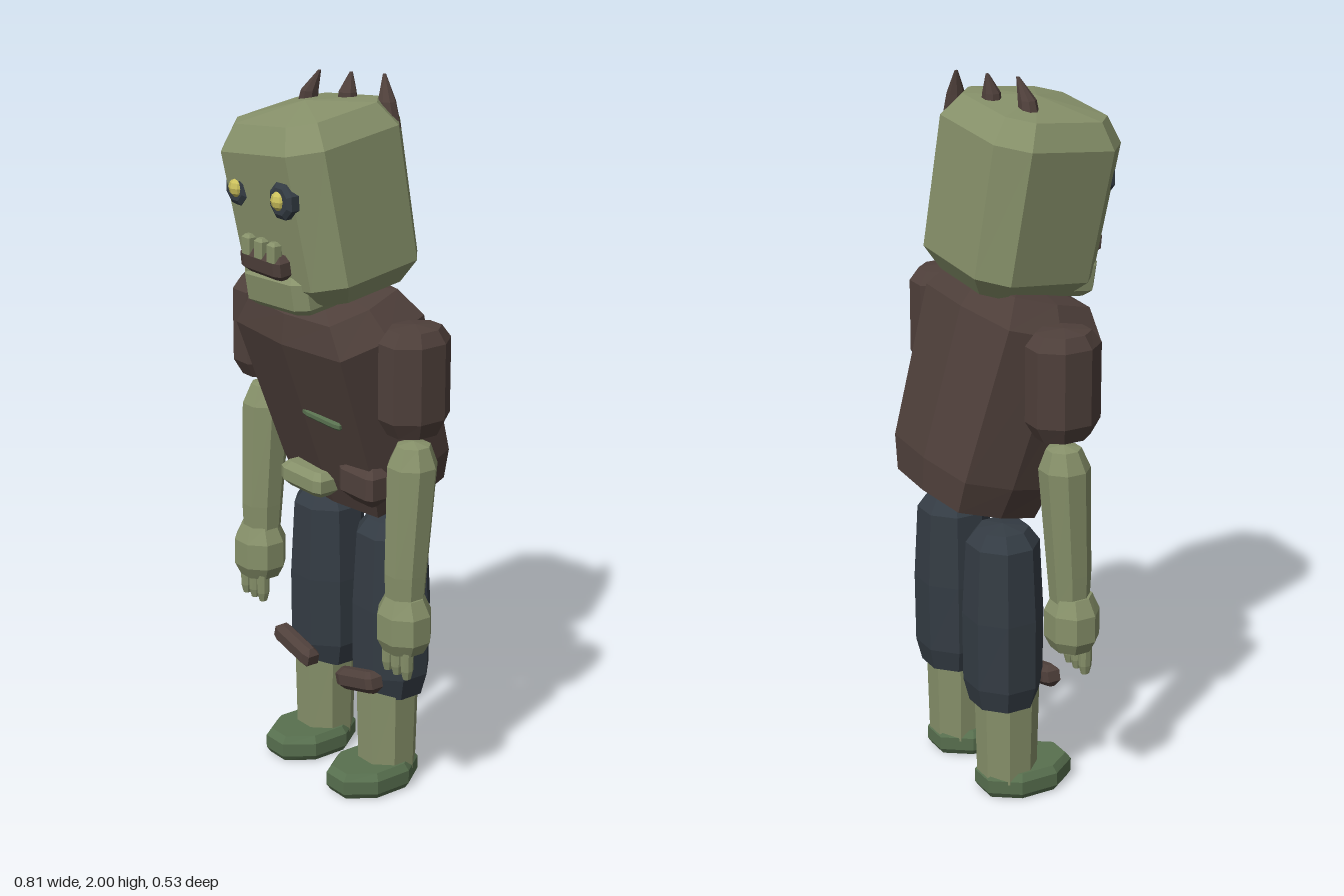
import * as THREE from 'three';

const mat = (name, color) => {
  const m = new THREE.MeshStandardMaterial({ color });
  m.name = name;
  return m;
};

// Faceted eight-sided loft. Rings: [y, halfWidth, halfDepth, centreX, centreZ].
// power < 1 squares the section; turned = corners on the axes; dome lifts the caps.
function loft(rings, { power = 1, turned = false, dome = 0 } = {}) {
  const n = 8, start = turned ? 0 : Math.PI / 8;
  const bend = (v) => (Math.abs(v) < 1e-6 ? 0 : Math.sign(v) * Math.abs(v) ** power);
  const norm = bend(Math.cos(start));
  const loops = rings.map(([y, rx, rz, cx = 0, cz = 0]) =>
    Array.from({ length: n }, (_, i) => {
      const a = start + (i / n) * Math.PI * 2;
      return [cx + (rx * bend(Math.cos(a))) / norm, y, cz + (rz * bend(Math.sin(a))) / norm];
    }));
  const last = rings.length - 1;
  const cap = (k, lift) => [rings[k][3] ?? 0, rings[k][0] + lift, rings[k][4] ?? 0];
  const low = cap(0, -dome), high = cap(last, dome);
  const pos = [];
  const tri = (...pts) => pts.forEach((p) => pos.push(...p));
  for (let i = 0; i < n; i++) {
    const k = (i + 1) % n;
    for (let j = 0; j < last; j++) {
      tri(loops[j][i], loops[j + 1][i], loops[j][k]);
      tri(loops[j][k], loops[j + 1][i], loops[j + 1][k]);
    }
    tri(low, loops[0][i], loops[0][k]);
    tri(high, loops[last][k], loops[last][i]);
  }
  const g = new THREE.BufferGeometry();
  g.setAttribute('position', new THREE.Float32BufferAttribute(pos, 3));
  g.computeVertexNormals();
  return g;
}

// Block with bevelled edges
function block(w, h, d, bevel) {
  const x = w / 2, y = h / 2, z = d / 2, b = bevel;
  return loft([[-y, x - b, z - b], [b - y, x, z], [y - b, x, z], [y, x - b, z - b]], { power: 0.35 });
}

export function createModel() {
  const skin = mat('skin green', 0x87916a);
  const cloth = mat('dark brown', 0x4f403b);
  const navy = mat('dark navy', 0x343c44);
  const moss = mat('moss green', 0x58704f);
  const yellow = mat('eye yellow', 0xcabf5c);

  const model = new THREE.Group();
  model.name = 'figure';
  const add = (name, geo, m, p = [0, 0, 0], r = [0, 0, 0]) => {
    const mesh = new THREE.Mesh(geo, m);
    mesh.name = name;
    mesh.position.set(...p);
    mesh.rotation.set(...r);
    model.add(mesh);
    return mesh;
  };

  // Hunched torso
  add('torso', loft([
    [-0.3, 0.2, 0.135, 0, -0.01], [-0.21, 0.23, 0.15, 0, -0.015],
    [0.215, 0.26, 0.163], [0.292, 0.2, 0.132],
  ], { power: 0.35, turned: true, dome: 0.03 }), cloth, [0, 1.14, -0.045], [0.27, 0, 0]);
  add('bellyPatch', block(0.18, 0.07, 0.08, 0.018), skin, [-0.05, 0.885, 0.04]);
  add('hipPouch', block(0.145, 0.12, 0.08, 0.03), cloth, [0.162, 0.93, 0.015]);
  add('chestScar', block(0.15, 0.022, 0.04, 0.006), moss, [0.075, 1.1, 0.082], [0, 0.06, -0.06]);

  // Tilted head, neck and jaw
  add('neck', loft([[1.38, 0.11, 0.1], [1.5, 0.1, 0.1]]), skin, [0, 0, 0.02]);
  add('head', loft([
    [-0.245, 0.15, 0.145], [-0.19, 0.197, 0.19], [0.17, 0.2, 0.2], [0.235, 0.16, 0.16],
  ], { power: 0.5, dome: 0.025 }), skin, [-0.004, 1.68, 0.033], [0.12, 0.08, 0.1]);
  add('jaw', block(0.265, 0.11, 0.2, 0.02), skin, [0, 1.467, 0.11], [0.13, 0.03, 0.04]);
  add('mouth', block(0.175, 0.065, 0.06, 0.015), cloth, [0, 1.535, 0.212], [0.1, 0, 0]);
  for (const x of [-0.055, 0, 0.055]) {
    add('tooth', block(0.034, 0.06, 0.03, 0.008), skin, [x, 1.573, 0.23]);
  }

  // Eyes
  const socket = loft([[-0.02, 0.046, 0.046], [0.01, 0.046, 0.046], [0.018, 0.034, 0.034]]);
  const ball = new THREE.SphereGeometry(0.028, 8, 6).toNonIndexed();
  ball.computeVertexNormals();
  for (const s of [-1, 1]) {
    add('eyeSocket', socket, navy, [s * 0.097, 1.72, 0.228], [Math.PI / 2, 0, 0]);
    add('eye', ball, yellow, [s * 0.092, 1.72, 0.234]);
  }

  // Hair spikes: [x, y, z, sideways lean]
  for (const [x, y, z, lean] of [[-0.112, 1.89, 0, 0.042], [0, 1.9, -0.05, 0], [0.115, 1.87, -0.1, -0.04]]) {
    const h = 2 - y;
    add('hairSpike', loft([
      [0, 0.03, 0.026], [h * 0.5, 0.024, 0.022, lean * 0.35, 0], [h, 0.004, 0.004, lean, -0.012],
    ]), cloth, [x, y, z]);
  }

  const shoulder = loft([
    [-0.145, 0.058, 0.07], [-0.1, 0.077, 0.095], [0.105, 0.077, 0.095], [0.14, 0.058, 0.07],
  ], { dome: 0.008 });
  const arm = loft([
    [0.64, 0.05, 0.05, 0, 0.005], [0.72, 0.054, 0.055, 0, 0.003],
    [1.02, 0.064, 0.064, 0, -0.015], [1.075, 0.042, 0.044, 0, -0.018],
  ], { dome: 0.01 });
  const hand = loft([
    [0.5, 0.056, 0.052], [0.535, 0.074, 0.068], [0.61, 0.074, 0.068], [0.655, 0.052, 0.05],
  ]);
  const finger = loft([[0.43, 0.009, 0.011], [0.455, 0.014, 0.017], [0.53, 0.016, 0.018]]);
  const thigh = loft([
    [0.285, 0.09, 0.085], [0.35, 0.107, 0.1], [0.55, 0.107, 0.102],
    [0.76, 0.096, 0.092], [0.8, 0.066, 0.065],
  ], { dome: 0.01 });
  const shin = loft([[0.05, 0.075, 0.078], [0.32, 0.08, 0.084]]);
  const foot = loft([
    [0.005, 0.085, 0.122], [0.022, 0.095, 0.133], [0.06, 0.095, 0.133], [0.08, 0.082, 0.118],
  ]);
  const kneePatch = block(0.165, 0.062, 0.05, 0.016);

  // Mirrored limbs
  for (const s of [-1, 1]) {
    const side = s > 0 ? 'left' : 'right';
    add(side + 'Shoulder', shoulder, cloth, [s * 0.323, 1.255, -0.02]);
    add(side + 'Arm', arm, skin, [s * 0.325, 0, 0]);
    add(side + 'Hand', hand, skin, [s * 0.329, 0, 0.01]);
    for (const x of [0.288, 0.327, 0.368]) add(side + 'Finger', finger, skin, [s * x, 0, 0.03]);
    add(side + 'TrouserLeg', thigh, navy, [s * 0.142, 0, -0.097]);
    add(side + 'KneePatch', kneePatch, cloth, [s * 0.145, 0.338, 0.018], [0, 0, s * 0.25]);
    add(side + 'Shin', shin, skin, [s * 0.143, 0, -0.085]);
    add(side + 'Foot', foot, moss, [s * 0.143, 0, -0.033]);
  }
  return model;
}
